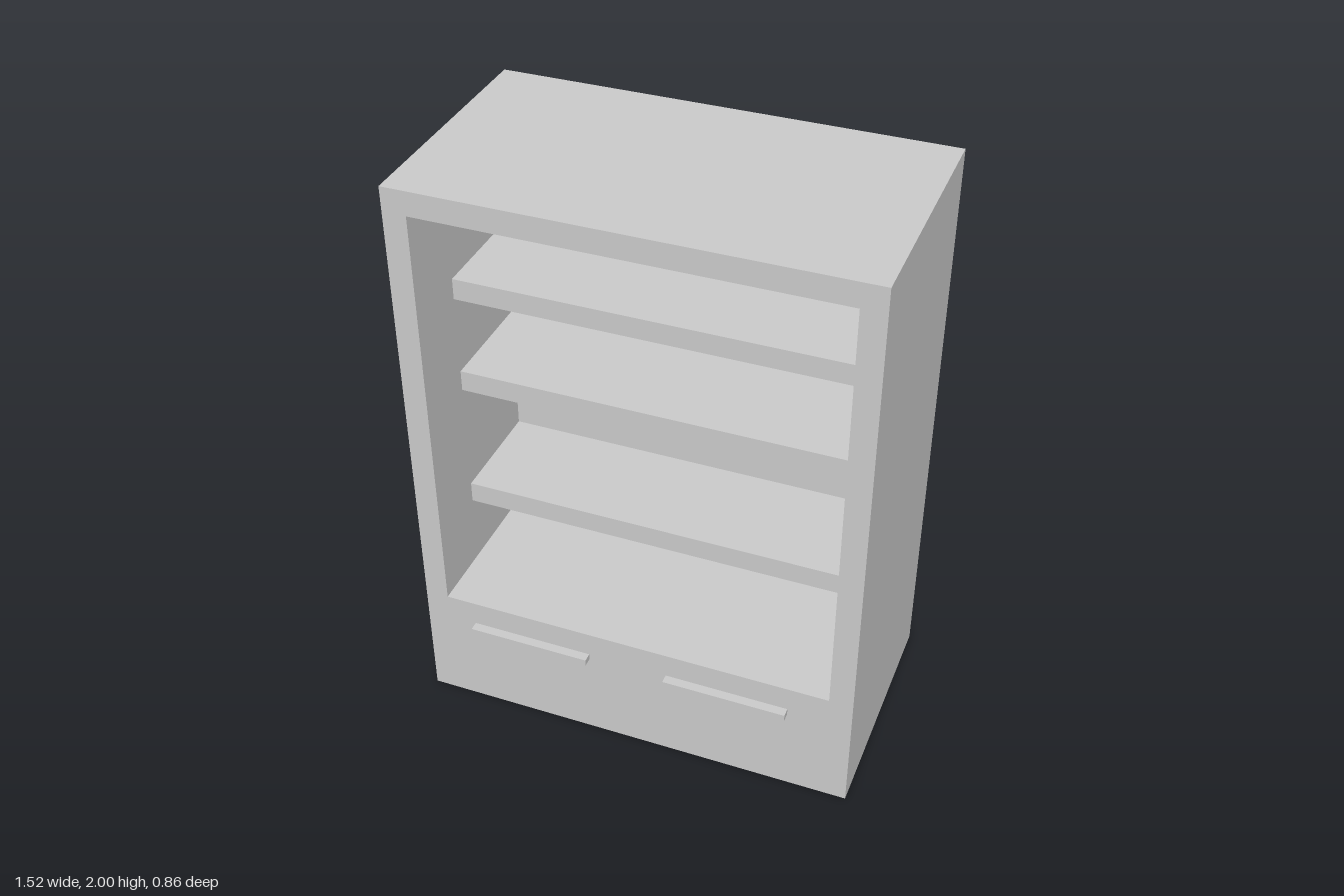
import * as THREE from 'three';

const material = new THREE.MeshStandardMaterial({ color: 0xcccccc });

// Adds a box given by its lower and upper bounds on each axis
function addBox(group, name, [x0, x1], [y0, y1], [z0, z1]) {
  const mesh = new THREE.Mesh(new THREE.BoxGeometry(x1 - x0, y1 - y0, z1 - z0), material);
  mesh.position.set((x0 + x1) / 2, (y0 + y1) / 2, (z0 + z1) / 2);
  mesh.name = name;
  group.add(mesh);
}

function rectangle(PathType, x, y0, y1) {
  const path = new PathType();
  path.moveTo(-x, y0).lineTo(x, y0).lineTo(x, y1).lineTo(-x, y1).closePath();
  return path;
}

export function createModel() {
  const group = new THREE.Group();
  group.name = 'shelfCabinet';

  const halfWidth = 0.76, innerHalf = 0.68;
  const front = 0.4, recessBack = -0.21, back = -0.432;

  // Cabinet body: a frame around the open recess, closed by a thick back
  const outline = rectangle(THREE.Shape, halfWidth, 0, 2);
  outline.holes.push(rectangle(THREE.Path, innerHalf, 0.433, 1.917));
  const frame = new THREE.Mesh(
    new THREE.ExtrudeGeometry(outline, { depth: front - recessBack, bevelEnabled: false }),
    material
  );
  frame.position.z = recessBack;
  frame.name = 'cabinetFrame';
  group.add(frame);
  addBox(group, 'cabinetBack', [-halfWidth, halfWidth], [0, 2], [back, recessBack]);

  // Shelves, set back from the front
  [0.757, 1.222, 1.572].forEach((top, i) =>
    addBox(group, `shelf${i + 1}`, [-innerHalf, innerHalf], [top - 0.074, top], [recessBack, 0.17]));

  // Drawer handles
  addBox(group, 'rightHandle', [-0.58, -0.156], [0.321, 0.344], [front, 0.432]);
  addBox(group, 'leftHandle', [0.12, 0.544], [0.321, 0.344], [front, 0.432]);

  return group;
}
